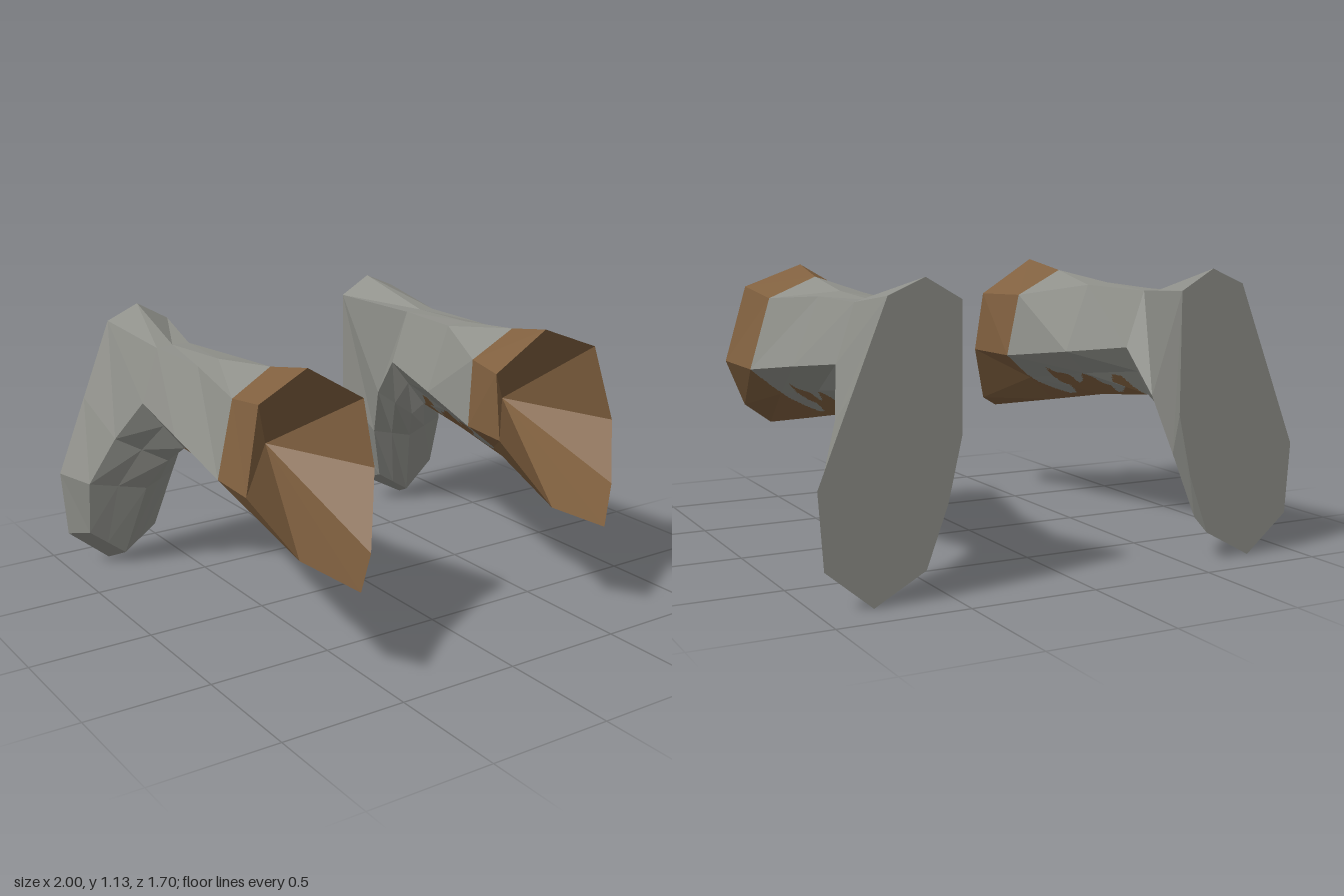
import * as THREE from 'three';

const grey = new THREE.MeshStandardMaterial({ color: 0x8f908a, flatShading: true });
grey.name = 'stone grey';
const brown = new THREE.MeshStandardMaterial({ color: 0x80603f, flatShading: true });
brown.name = 'earth brown';

// Cross-sections of the +x limb, as points [x, y, z] in this order:
// top, outer top, outer, (outer bottom), bottom, (inner bottom), inner, inner top
const mouthRing = [
  [0.56, 1.115, 0.48], [0.79, 1.025, 0.525], [0.87, 0.71, 0.565], [0.745, 0.495, 0.71],
  [0.58, 0.385, 0.85], [0.435, 0.45, 0.7], [0.3, 0.705, 0.525], [0.315, 0.965, 0.475],
];
const sections = [
  // cuff, middle, elbow
  [[0.58, 1.075, 0.25], [0.765, 0.99, 0.29], [0.845, 0.7, 0.31], [0.59, 0.482, 0.31], [0.335, 0.7, 0.28], [0.375, 0.97, 0.25]],
  [[0.61, 1.038, -0.1], [0.7, 1.02, -0.1], [0.81, 0.755, -0.1], [0.6, 0.557, -0.1], [0.41, 0.75, -0.1], [0.515, 1.03, -0.1]],
  [[0.63, 1.027, -0.46], [0.7, 1.022, -0.46], [0.775, 0.8, -0.46], [0.62, 0.592, -0.41], [0.475, 0.8, -0.46], [0.555, 1.025, -0.46]],
  // lower lobe; the top points slide down the flat back
  [[0.6, 1.13, -0.85], [0.74, 1.07, -0.85], [0.84, 0.62, -0.61], [0.64, 0.51, -0.53], [0.5, 0.62, -0.61], [0.46, 1.05, -0.85]],
  [[0.66, 0.8, -0.85], [0.87, 0.75, -0.85], [0.93, 0.41, -0.7], [0.7, 0.37, -0.63], [0.54, 0.4, -0.7], [0.46, 0.58, -0.85]],
  [[0.74, 0.4, -0.85], [1.0, 0.43, -0.85], [0.92, 0.17, -0.755], [0.765, 0.05, -0.74], [0.61, 0.15, -0.755], [0.515, 0.34, -0.85]],
  [[0.76, 0.25, -0.85], [1.0, 0.43, -0.85], [0.98, 0.15, -0.85], [0.8, 0, -0.85], [0.6, 0.11, -0.85], [0.515, 0.34, -0.85]],
];

// Outline of the curling brown marks along the underside, as (z, y)
const marks = [
  [0.32, 0.3], [0.31, 0.7], [0.3, 0.62], [0.27, 0.575], [0.2, 0.55], [0.13, 0.535], [0.07, 0.545], [0.06, 0.58],
  [0.1, 0.59], [0.13, 0.62], [0.11, 0.66], [0.08, 0.64], [0.05, 0.64], [0.01, 0.635], [-0.01, 0.6], [-0.04, 0.61], [-0.08, 0.65],
  [-0.13, 0.64], [-0.17, 0.615], [-0.21, 0.61], [-0.22, 0.58], [-0.26, 0.59], [-0.3, 0.615], [-0.24, 0.63], [-0.27, 0.665],
  [-0.32, 0.665], [-0.35, 0.62], [-0.38, 0.6], [-0.42, 0.59], [-0.42, 0.3],
];

function isMarked(p) {
  let inside = false;
  marks.forEach(([z, y], i) => {
    const [z2, y2] = marks[(i + 1) % marks.length];
    if ((y > p.y) !== (y2 > p.y) && p.z < ((z2 - z) * (p.y - y)) / (y2 - y) + z) inside = !inside;
  });
  return inside;
}

const toVectors = (ring) => ring.map((p) => new THREE.Vector3(...p));

// Turn a six-point section into eight by adding the two lower midpoints
function toEight(section) {
  const [t, ot, o, b, i, it] = toVectors(section);
  return [t, ot, o, o.clone().lerp(b, 0.5), b, b.clone().lerp(i, 0.5), i, it];
}

// Split a triangle into n * n smaller ones
function subdivide(a, b, c, n, emit) {
  const at = (i, j) => a.clone().addScaledVector(b.clone().sub(a), i / n).addScaledVector(c.clone().sub(a), j / n);
  for (let i = 0; i < n; i++) {
    for (let j = 0; j < n - i; j++) {
      emit(at(i, j), at(i + 1, j), at(i, j + 1));
      if (i + j < n - 1) emit(at(i + 1, j), at(i + 1, j + 1), at(i, j + 1));
    }
  }
}

function buildLimb(side) {
  const parts = { body: [], backCap: [], cuff: [], mouth: [], undersideMarks: [] };
  const add = (part, a, b, c) => {
    const order = side > 0 ? [a, b, c] : [a, c, b];
    order.forEach((p) => parts[part].push(p.x * side, p.y, p.z));
  };
  const rings = [toVectors(mouthRing), ...sections.map(toEight)];

  // Skin between neighbouring rings
  for (let k = 0; k < rings.length - 1; k++) {
    for (let i = 0; i < 8; i++) {
      const j = (i + 1) % 8;
      const [a, b, c, d] = [rings[k][i], rings[k][j], rings[k + 1][i], rings[k + 1][j]];
      for (const tri of [[a, b, c], [b, d, c]]) {
        if (k === 0) add('cuff', ...tri);
        else if (k < 3 && i >= 2 && i <= 5) {
          subdivide(...tri, 28, (p, q, r) => {
            const middle = p.clone().add(q).add(r).divideScalar(3);
            add(isMarked(middle) ? 'undersideMarks' : 'body', p, q, r);
          });
        } else add('body', ...tri);
      }
    }
  }

  // Hollow mouth in front and the end of the flat back
  const throat = new THREE.Vector3(0.58, 0.765, 0.2);
  const heel = new THREE.Vector3(0.79, 0.2, -0.85);
  const last = rings[rings.length - 1];
  for (let i = 0; i < 8; i++) {
    const j = (i + 1) % 8;
    add('mouth', throat, rings[0][j], rings[0][i]);
    add('backCap', heel, last[i], last[j]);
  }

  const limb = new THREE.Group();
  limb.name = side > 0 ? 'leftLimb' : 'rightLimb';
  for (const [name, positions] of Object.entries(parts)) {
    const geometry = new THREE.BufferGeometry();
    geometry.setAttribute('position', new THREE.Float32BufferAttribute(positions, 3));
    geometry.computeVertexNormals();
    const mesh = new THREE.Mesh(geometry, name === 'body' || name === 'backCap' ? grey : brown);
    mesh.name = name;
    limb.add(mesh);
  }
  return limb;
}

export function createModel() {
  const model = new THREE.Group();
  model.name = 'pairOfLimbs';
  model.add(buildLimb(1), buildLimb(-1));
  return model;
}
